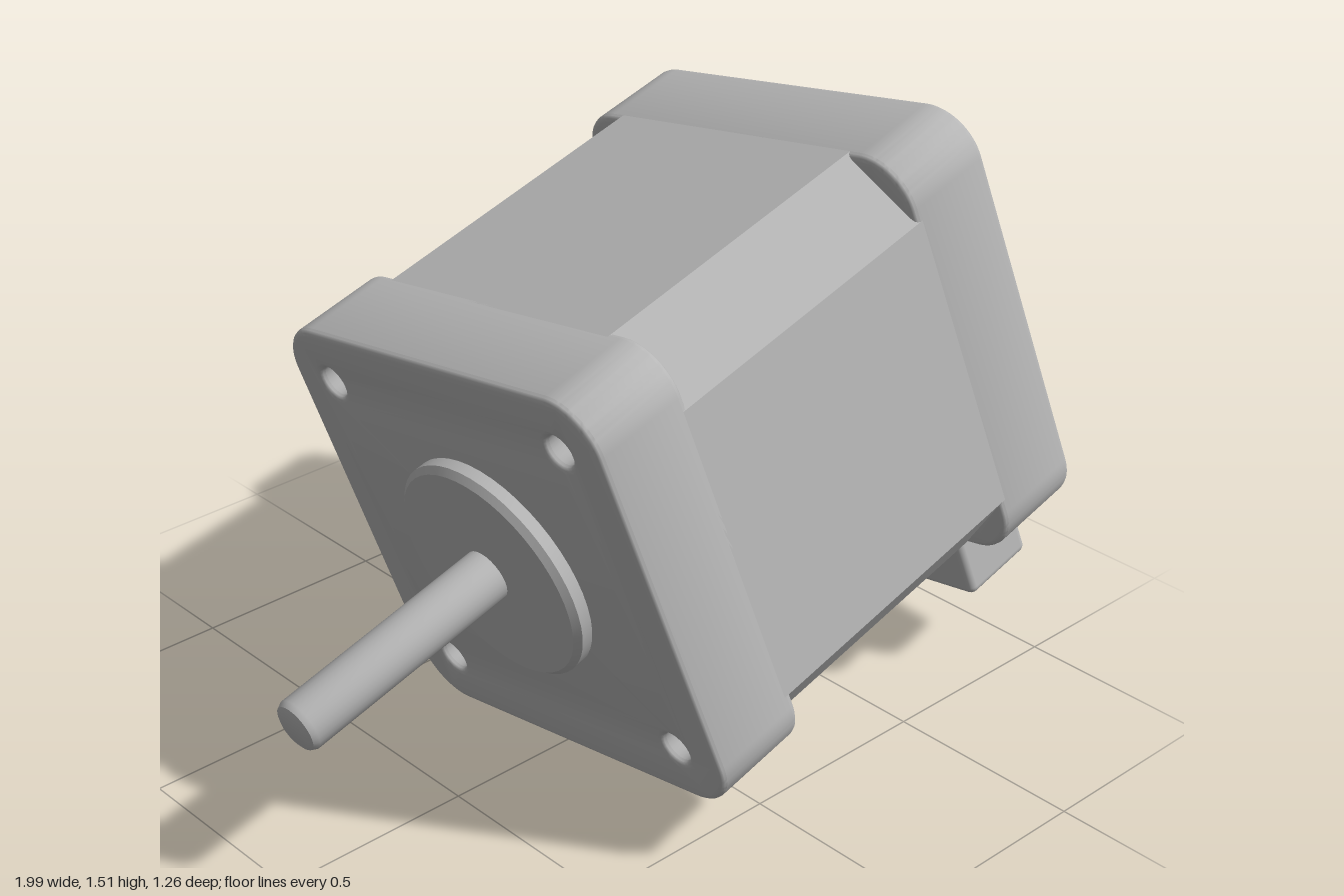
import * as THREE from 'three';
import { toCreasedNormals } from 'three/addons/utils/BufferGeometryUtils.js';
import { RoundedBoxGeometry } from 'three/addons/geometries/RoundedBoxGeometry.js';

const HALF = 0.547;      // half width of the square body
const LENGTH = 1.25;     // body length along the motor axis
const CAP = 0.25;        // length of each end cap
const RADIUS = 0.127;    // cap corner radius
const CHAMFER = 0.16;    // corner cut of the middle section
const HOLE = 0.407;      // screw hole offset from the axis

// square with rounded corners
function roundedSquare(h, r) {
  const s = new THREE.Shape();
  const c = h - r;
  s.absarc(c, c, r, 0, Math.PI / 2);
  s.absarc(-c, c, r, Math.PI / 2, Math.PI);
  s.absarc(-c, -c, r, Math.PI, Math.PI * 1.5);
  s.absarc(c, -c, r, Math.PI * 1.5, Math.PI * 2);
  s.closePath();
  return s;
}

// square with cut corners
function cutSquare(h, c) {
  const k = h - c;
  return new THREE.Shape([[h, -k], [h, k], [k, h], [-k, h], [-h, k], [-h, -k], [-k, -h], [k, -h]]
    .map(([x, y]) => new THREE.Vector2(x, y)));
}

export function createModel() {
  const grey = new THREE.MeshStandardMaterial({ color: 0xb6b6b6 });
  grey.name = 'satin grey';
  const motor = new THREE.Group();
  motor.name = 'motor';

  const add = (name, geometry) => {
    const mesh = new THREE.Mesh(geometry, grey);
    mesh.name = name;
    motor.add(mesh);
    return mesh;
  };

  // end caps with four screw holes each
  const endCap = (name, x, holeRadius) => {
    const bevel = 0.014;
    const shape = roundedSquare(HALF, RADIUS);
    for (const sx of [-1, 1]) for (const sy of [-1, 1]) {
      const hole = new THREE.Path();
      hole.absarc(sx * HOLE, sy * HOLE, holeRadius, 0, Math.PI * 2, true);
      shape.holes.push(hole);
    }
    const g = new THREE.ExtrudeGeometry(shape, {
      depth: CAP - 2 * bevel, curveSegments: 12, bevelThickness: bevel,
      bevelSize: bevel, bevelOffset: -bevel, bevelSegments: 3,
    });
    g.translate(0, 0, bevel - CAP / 2).rotateY(Math.PI / 2).translate(x, 0, 0);
    add(name, toCreasedNormals(g, 0.6));
  };
  const capX = LENGTH / 2 - CAP / 2;
  endCap('frontCap', -capX, 0.04);
  endCap('backCap', capX, 0.046);

  // middle section with cut corners, reaching slightly into the caps
  const midLength = LENGTH - 2 * CAP + 0.04;
  const mid = new THREE.ExtrudeGeometry(cutSquare(HALF, CHAMFER), { depth: midLength, bevelEnabled: false });
  mid.translate(0, 0, -midLength / 2).rotateY(Math.PI / 2);
  add('middleSection', mid);

  // turned parts on the front face, pointing along -x
  const turned = (name, profile, segments) => {
    const g = new THREE.LatheGeometry(profile.map(([r, y]) => new THREE.Vector2(r, y)), segments);
    g.rotateZ(Math.PI / 2).translate(-LENGTH / 2, 0, 0);
    add(name, toCreasedNormals(g, 0.6));
  };
  turned('pilotRing', [[0.287, -0.01], [0.287, 0.03], [0.272, 0.045], [0, 0.045]], 48);
  turned('shaft', [[0.065, -0.01], [0.065, 0.61], [0.058, 0.624], [0.045, 0.63], [0, 0.63]], 28);

  // plug socket under the back cap
  const socket = add('plugSocket', new RoundedBoxGeometry(0.215, 0.3, 0.69, 3, 0.02));
  socket.position.set(0.492, -0.585, 0);

  // tilt the whole motor into its resting pose
  const axis = new THREE.Vector3(0.965, 0.26, -0.03).normalize();
  const up = new THREE.Vector3(-0.261, 0.949, -0.173);
  up.addScaledVector(axis, -up.dot(axis)).normalize();
  const side = new THREE.Vector3().crossVectors(axis, up);
  motor.quaternion.setFromRotationMatrix(new THREE.Matrix4().makeBasis(axis, up, side));
  motor.position.set(0.235, 0.763, 0.001);

  const model = new THREE.Group();
  model.name = 'model';
  model.add(motor);
  return model;
}
